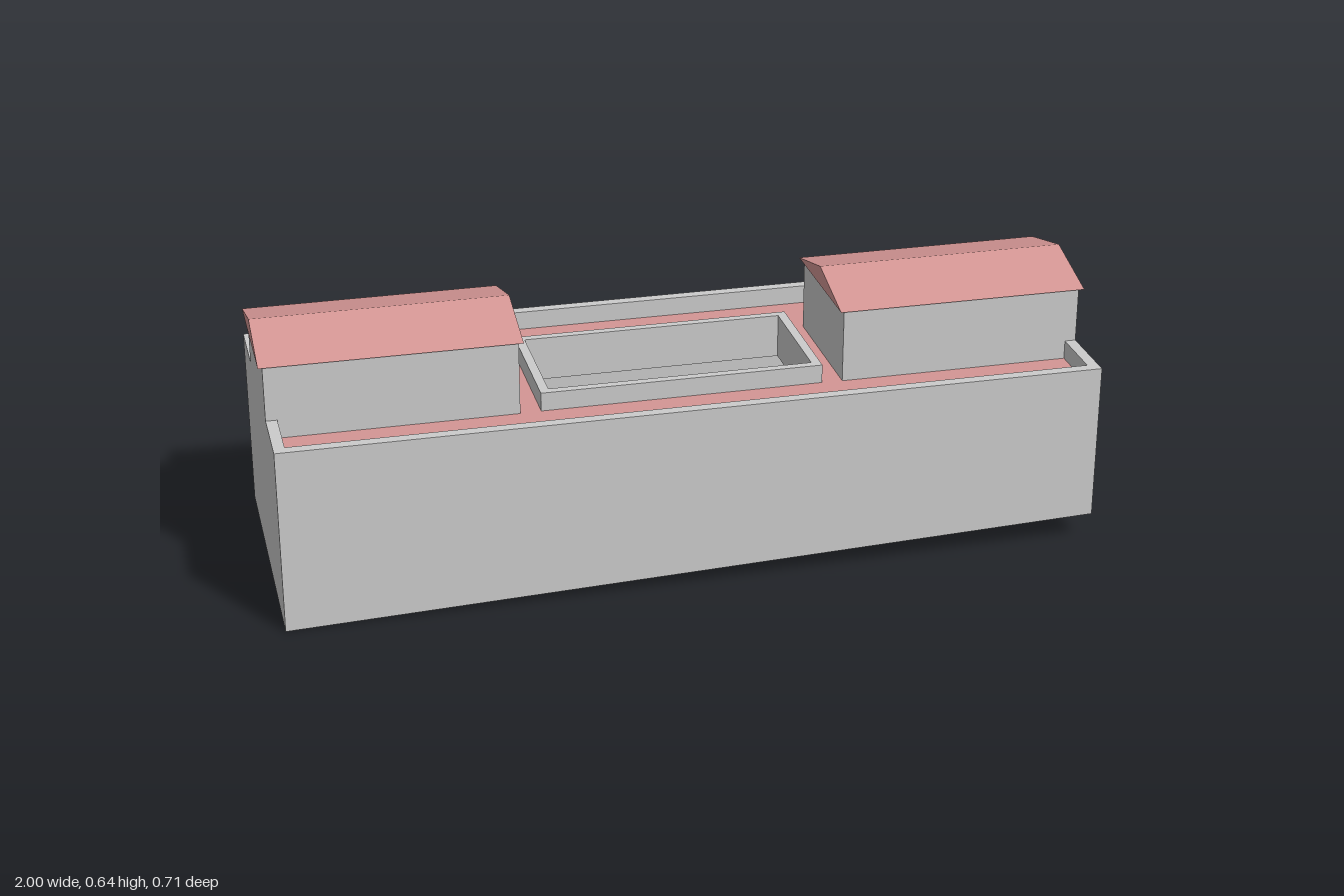
import * as THREE from 'three';

const grey = new THREE.MeshStandardMaterial({ color: 0xcccccc, side: THREE.DoubleSide, flatShading: true });
const red = new THREE.MeshStandardMaterial({ color: 0xd49694, side: THREE.DoubleSide, flatShading: true });

const rectPoints = (hx, hz) => [[-hx, -hz], [hx, -hz], [hx, hz], [-hx, hz]].map(([x, z]) => new THREE.Vector2(x, z));

// Rectangular frame standing between heights y0 and y1
function frame(name, outer, inner, y0, y1, material) {
  const shape = new THREE.Shape(rectPoints(...outer));
  shape.holes.push(new THREE.Path(rectPoints(...inner)));
  const geo = new THREE.ExtrudeGeometry(shape, { depth: y1 - y0, bevelEnabled: false });
  geo.rotateX(-Math.PI / 2).translate(0, y0, 0);
  const mesh = new THREE.Mesh(geo, material);
  mesh.name = name;
  return mesh;
}

// Open wall band whose lower edge follows sloping ground
function skirt(hx, hz, top, bottoms) {
  const corners = [[-hx, hz], [hx, hz], [hx, -hz], [-hx, -hz]];
  const pos = [];
  const index = [];
  for (let i = 0; i < 4; i++) {
    const j = (i + 1) % 4;
    const [ax, az] = corners[i];
    const [bx, bz] = corners[j];
    const n = pos.length / 3;
    pos.push(ax, bottoms[i], az, bx, bottoms[j], bz, bx, top, bz, ax, top, az);
    index.push(n, n + 1, n + 2, n, n + 2, n + 3);
  }
  const geo = new THREE.BufferGeometry();
  geo.setAttribute('position', new THREE.Float32BufferAttribute(pos, 3));
  geo.setIndex(index);
  geo.computeVertexNormals();
  const mesh = new THREE.Mesh(geo, grey);
  mesh.name = 'foundationSkirt';
  return mesh;
}

export function createModel() {
  const model = new THREE.Group();
  model.name = 'courtyardBuilding';
  const HX = 0.988, HZ = 0.345, WALL = 0.027;
  const BASE = 0.093, TERRACE = 0.411, PARAPET = 0.457;

  // Outer walls with parapet, and the sloping skirt below
  const inside = [HX - WALL, HZ - WALL];
  model.add(frame('outerWalls', [HX, HZ], inside, BASE, PARAPET, grey));
  model.add(skirt(HX, HZ, BASE, [0, 0.067, 0.065, 0.008]));

  // Flat roof terrace around the courtyard
  model.add(frame('terrace', inside, [0.344, 0.168], 0.355, TERRACE, red));
  model.add(frame('courtyardParapet', [0.344, 0.168], [0.322, 0.147], 0.347, PARAPET, grey));

  // Gabled upper storey at each end
  for (const side of [-1, 1]) {
    const wing = new THREE.Group();
    wing.name = side < 0 ? 'rightWing' : 'leftWing';
    const eaves = 0.594, ridge = 0.642;

    const walls = new THREE.Mesh(new THREE.BoxGeometry(0.594, eaves - TERRACE, 0.34), grey);
    walls.name = 'wingWalls';
    walls.position.set(side * 0.691, (eaves + TERRACE) / 2, 0);

    const gable = new THREE.Shape([
      new THREE.Vector2(-0.18, eaves), new THREE.Vector2(0.18, eaves), new THREE.Vector2(0, ridge),
    ]);
    const length = 0.615;
    const roofGeo = new THREE.ExtrudeGeometry(gable, { depth: length, bevelEnabled: false });
    roofGeo.translate(0, 0, -length / 2).rotateY(Math.PI / 2);
    const roof = new THREE.Mesh(roofGeo, red);
    roof.name = 'gableRoof';
    roof.position.x = side * 0.691;

    wing.add(walls, roof);
    model.add(wing);
  }

  // The building stands slightly turned on its plot
  model.rotation.y = -0.0115;
  const root = new THREE.Group();
  root.name = 'building';
  root.add(model);
  return root;
}
